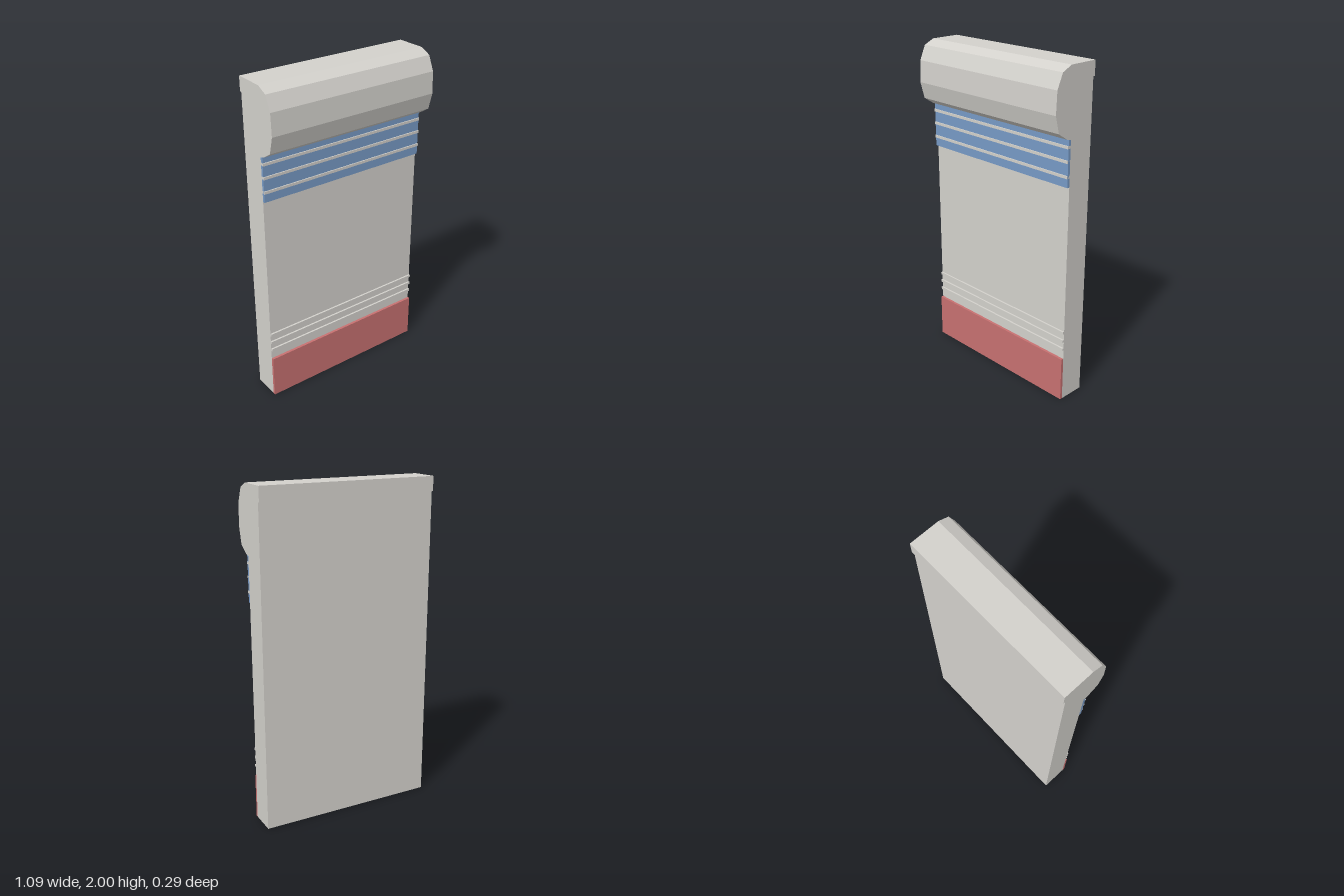
import * as THREE from 'three';

export function createModel() {
  const model = new THREE.Group();
  const width = 1.086;

  const paint = (name, color) => {
    const m = new THREE.MeshStandardMaterial({ color });
    m.name = name;
    return m;
  };
  const stone = paint('pale stone', 0xd3d1cc);
  const blue = paint('soft blue', 0x779ac6);
  const red = paint('soft red', 0xc77171);

  // Full-width box given by its height range and depth range
  function slab(name, y0, y1, z0, z1, material) {
    const mesh = new THREE.Mesh(new THREE.BoxGeometry(width, y1 - y0, z1 - z0), material);
    mesh.position.set(0, (y0 + y1) / 2, (z0 + z1) / 2);
    mesh.name = name;
    model.add(mesh);
  }

  // Wall, faceted roll moulding and rear lip: one side profile of [z, y] swept across x
  const profile = [
    [-0.135, 0], [0.025, 0], [0.025, 1.605], [0.055, 1.613], [0.12, 1.655],
    [0.147, 1.755], [0.141, 1.885], [0.103, 1.97], [0.038, 2],
    [-0.147, 2], [-0.147, 1.915], [-0.135, 1.915],
  ];
  const shape = new THREE.Shape(profile.map(([z, y]) => new THREE.Vector2(-z, y)));
  const wallGeometry = new THREE.ExtrudeGeometry(shape, { depth: width, bevelEnabled: false });
  wallGeometry.translate(0, 0, -width / 2);
  wallGeometry.rotateY(Math.PI / 2);
  const wall = new THREE.Mesh(wallGeometry, stone);
  wall.name = 'wallWithMoulding';
  model.add(wall);

  // Coloured bands on the front
  slab('baseBand', 0, 0.275, 0.025, 0.041, red);
  slab('friezeBand', 1.342, 1.61, 0.025, 0.041, blue);

  // Thin raised ribs across the frieze and above the base
  for (const y of [1.402, 1.487, 1.567]) slab('friezeRib', y - 0.008, y + 0.008, 0.025, 0.047, stone);
  for (const y of [0.34, 0.395, 0.45]) slab('lowerRib', y - 0.008, y + 0.008, 0.025, 0.036, stone);

  return model;
}
